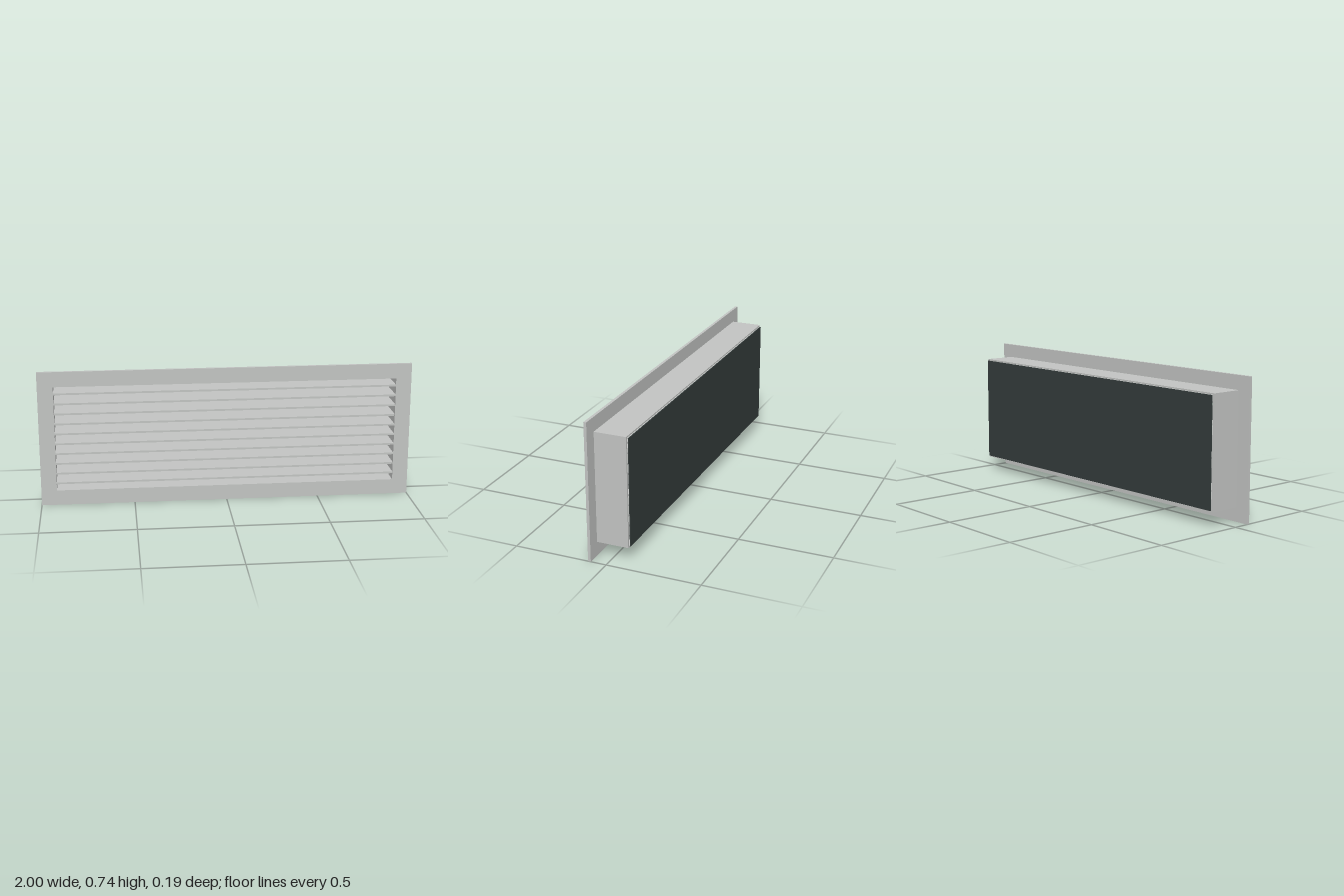
import * as THREE from 'three';

const OPEN_W = 1.834, OPEN_H = 0.574, MID_Y = 0.3685;

// Rectangular ring extruded from zBack towards the front
function ring(width, height, zBack, depth) {
  const rect = (target, w, h) => {
    target.moveTo(-w / 2, -h / 2);
    target.lineTo(w / 2, -h / 2);
    target.lineTo(w / 2, h / 2);
    target.lineTo(-w / 2, h / 2);
    target.closePath();
    return target;
  };
  const shape = rect(new THREE.Shape(), width, height);
  shape.holes.push(rect(new THREE.Path(), OPEN_W, OPEN_H));
  const geometry = new THREE.ExtrudeGeometry(shape, { depth, bevelEnabled: false });
  return geometry.translate(0, MID_Y, zBack);
}

export function createModel() {
  const group = new THREE.Group();
  group.name = 'ventGrille';
  const metal = new THREE.MeshStandardMaterial({ color: 0xc2c4c2 });
  metal.name = 'light grey metal';
  const dark = new THREE.MeshStandardMaterial({ color: 0x343c3b });
  dark.name = 'dark backing';

  const add = (name, geometry, material) => {
    const mesh = new THREE.Mesh(geometry, material);
    mesh.name = name;
    group.add(mesh);
    return mesh;
  };

  // Front flange and the duct collar behind it
  add('frontFrame', ring(2, 0.737, 0.083, 0.015), metal);
  add('ductCollar', ring(1.856, 0.588, -0.087, 0.17), metal);

  // Horizontal louvre blades
  const blade = new THREE.BoxGeometry(OPEN_W, 0.01, 0.17);
  for (let i = 0; i < 10; i++) {
    add(`blade${i + 1}`, blade, metal).position.set(0, MID_Y + (i - 4.5) * 0.055, 0.011);
  }

  // Dark plate just behind the collar
  add('backPlate', new THREE.BoxGeometry(OPEN_W + 0.006, 0.572, 0.005), dark)
    .position.set(0, MID_Y, -0.0945);

  return group;
}
